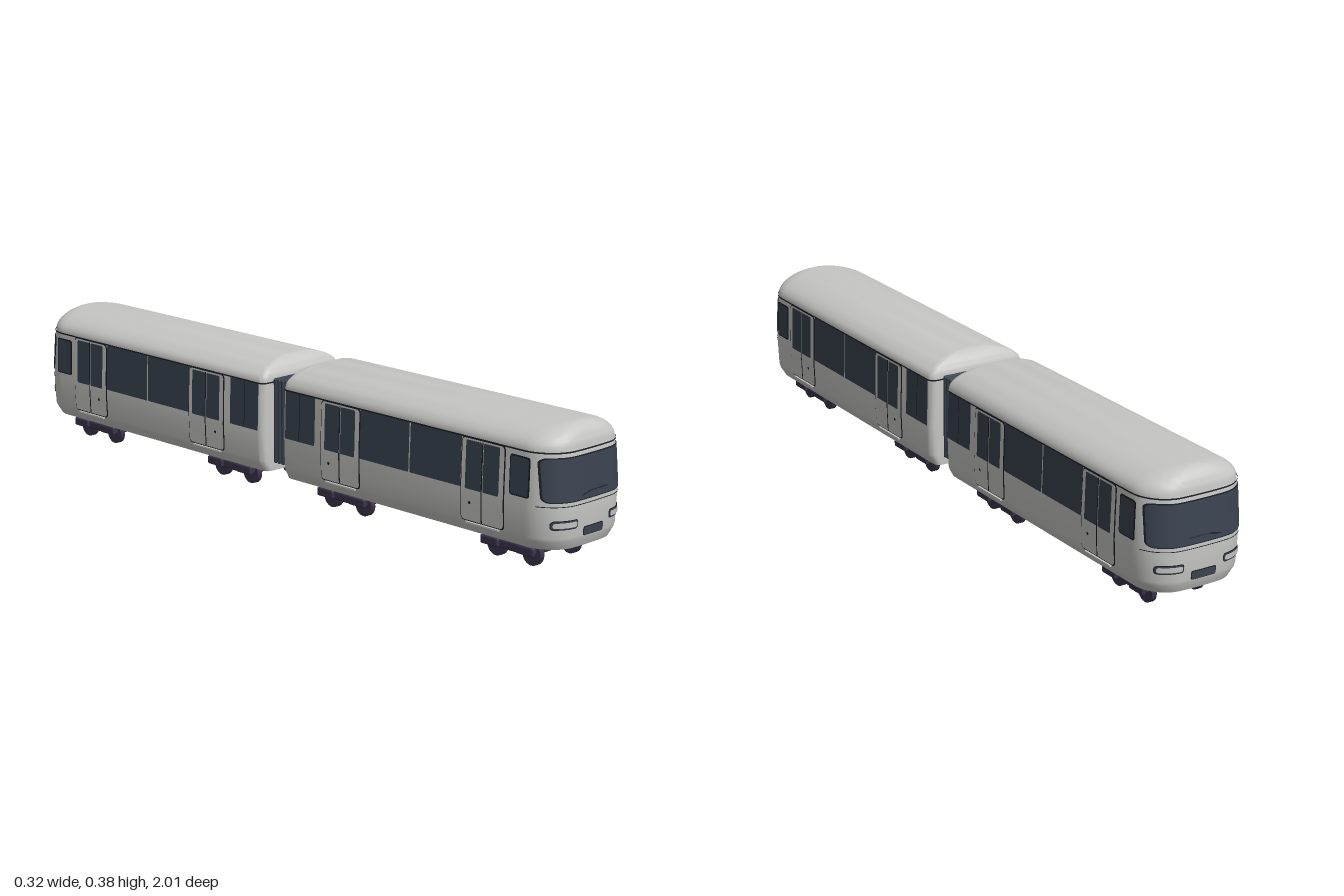
import * as THREE from 'three';
import { toCreasedNormals } from 'three/addons/utils/BufferGeometryUtils.js';
import { RoundedBoxGeometry } from 'three/addons/geometries/RoundedBoxGeometry.js';

const material = (name, color, side = THREE.FrontSide) => {
  const m = new THREE.MeshStandardMaterial({ color, side });
  m.name = name;
  return m;
};
const paint = material('light grey paint', 0xc6c6c4, THREE.DoubleSide);
const glass = material('dark glass', 0x3a4350, THREE.DoubleSide);
const trim = material('black trim', 0x1c2027, THREE.DoubleSide);
const bogieMat = material('bogie purple', 0x3b324a);
const bellowsMat = material('bellows rubber', 0x363e4a);

// Body profile by height: [y, half width, nose z]
const PROFILE = [[0.068, 0.133, 0.985], [0.09, 0.146, 0.995], [0.1, 0.149, 0.997],
  [0.18, 0.152, 1.0], [0.315, 0.148, 0.99], [0.32, 0.148, 0.989]];
const REAR = 0.037, BULGE = 0.01;
const noseRadius = (w) => 0.085 * w / 0.15;

function profileAt(y) {
  let i = 0;
  while (i < PROFILE.length - 2 && y > PROFILE[i + 1][0]) i++;
  const [a, b] = [PROFILE[i], PROFILE[i + 1]];
  const t = (y - a[0]) / (b[0] - a[0]);
  return [a[1] + (b[1] - a[1]) * t, a[2] + (b[2] - a[2]) * t];
}

// Plan outline of a car at one height: round nose, tight rear corners
function outline(y, w, zf, zr) {
  const r = noseRadius(w), rr = 0.02 * w / 0.15, half = [], rear = [];
  for (let i = 0; i <= 12; i++) {
    const a = i / 12 * Math.PI / 2, x = w - r + r * Math.cos(a);
    half.push([x, zf - r + r * Math.sin(a) - BULGE * (x / w) ** 2]);
  }
  for (const k of [0.67, 0.33]) {
    const x = (w - r) * k;
    half.push([x, zf - BULGE * (x / w) ** 2]);
  }
  for (let i = 0; i <= 4; i++) {
    const a = i / 4 * Math.PI / 2;
    rear.push([-(w - rr + rr * Math.cos(a)), zr + rr - rr * Math.sin(a)]);
  }
  const mirror = (list) => list.map(([x, z]) => [-x, z]).reverse();
  return [...half, [0, zf], ...mirror(half), ...rear, ...mirror(rear)].map(([x, z]) => [x, y, z]);
}

function indexed(points, index) {
  const g = new THREE.BufferGeometry();
  g.setAttribute('position', new THREE.Float32BufferAttribute(points.flat(), 3));
  g.setIndex(index);
  g.computeVertexNormals();
  return g;
}

function loft(rings, capped) {
  const n = rings[0].length, index = [];
  for (let i = 0; i < rings.length - 1; i++) {
    for (let j = 0; j < n; j++) {
      const a = i * n + j, b = i * n + (j + 1) % n;
      index.push(a, a + n, b, b, a + n, b + n);
    }
  }
  if (capped) {
    const top = (rings.length - 1) * n;
    for (let j = 1; j < n - 1; j++) index.push(0, j, j + 1, top, top + j + 1, top + j);
  }
  return toCreasedNormals(indexed(rings.flat(), index), 0.5);
}

function add(parent, name, geometry, mat, x = 0, y = 0, z = 0) {
  const mesh = new THREE.Mesh(geometry, mat);
  mesh.name = name;
  mesh.position.set(x, y, z);
  parent.add(mesh);
  return mesh;
}

// Surface mappings: thin plates lie on the nose or on either side wall
const onNose = (off) => (x, y) => {
  const [w, zf] = profileAt(y), r = noseRadius(w);
  const s = Math.min(0.99, Math.max(0, Math.abs(x) - (w - r)) / r), c = Math.sqrt(1 - s * s);
  return [x + Math.sign(x) * s * off, y, zf - r + r * c - BULGE * (x / w) ** 2 + c * off];
};
const onSide = (side, off) => (z, y) => [side * (profileAt(y)[0] + off), y, z];

// Rounded rectangle wrapped on a mapped surface
function patch(parent, name, mat, map, u0, u1, y0, y1, r = 0.001) {
  const N = 28, M = 6, pts = [], index = [];
  for (let i = 0; i <= N; i++) {
    const u = u0 + (u1 - u0) * (1 - Math.cos(i / N * Math.PI)) / 2;
    const d = Math.max(0, Math.min(u - u0, u1 - u));
    const inset = d < r ? r - Math.sqrt(r * r - (r - d) ** 2) : 0;
    for (let j = 0; j <= M; j++) {
      pts.push(map(u, y0 + inset + (y1 - y0 - 2 * inset) * j / M));
      if (i < N && j < M) {
        const a = i * (M + 1) + j, b = a + M + 1;
        index.push(a, b, b + 1, a, b + 1, a + 1);
      }
    }
  }
  add(parent, name, indexed(pts, index), mat);
}

function buildBogie(z) {
  const g = new THREE.Group();
  g.name = 'bogie';
  g.position.z = z;
  add(g, 'bogieFrame', new RoundedBoxGeometry(0.198, 0.027, 0.15, 2, 0.008), bogieMat, 0, 0.042, 0);
  add(g, 'bogieMount', new THREE.BoxGeometry(0.166, 0.02, 0.11), bogieMat, 0, 0.06, 0);
  for (const s of [-1, 1]) {
    for (const dz of [-0.059, 0.059]) {
      const wheel = add(g, 'wheel', new THREE.CylinderGeometry(0.03, 0.03, 0.015, 24), bogieMat, s * 0.073, 0.03, dz);
      wheel.rotation.z = Math.PI / 2;
      add(g, 'axleBox', new RoundedBoxGeometry(0.012, 0.024, 0.06, 2, 0.005), bogieMat, s * 0.104, 0.045, dz);
    }
  }
  return g;
}

function buildDoor(car, side, c) {
  const at = (off) => onSide(side, off);
  patch(car, 'doorSeal', trim, at(0.002), c - 0.073, c + 0.073, 0.099, 0.318, 0.012);
  patch(car, 'door', paint, at(0.0035), c - 0.07, c + 0.07, 0.102, 0.315, 0.01);
  for (const s of [-1, 1]) {
    const [a, b] = [c + s * 0.003, c + s * 0.056].sort((p, q) => p - q);
    patch(car, 'doorWindow', glass, at(0.005), a, b, 0.185, 0.311, 0.004);
  }
  patch(car, 'doorGap', trim, at(0.006), c - 0.002, c + 0.002, 0.104, 0.313);
  patch(car, 'doorButton', trim, at(0.006), c - 0.044, c - 0.036, 0.146, 0.154, 0.004);
  add(car, 'doorStep', new THREE.BoxGeometry(0.008, 0.004, 0.11), paint, side * 0.151, 0.096, c);
}

function buildCar() {
  const car = new THREE.Group();
  // Shell with an elliptical roof
  const rings = PROFILE.map(([y, w, zf]) => outline(y, w, zf, REAR));
  for (let i = 1; i <= 12; i++) {
    const a = i / 12 * Math.PI / 2, c = Math.max(0.003, Math.cos(a));
    rings.push(outline(0.32 + 0.06 * Math.sin(a), 0.148 * c, 0.989 - 0.05 * (1 - c), REAR + 0.05 * (1 - c)));
  }
  add(car, 'bodyShell', loft(rings, true), paint);
  // Gutter line below the roof
  add(car, 'gutter', loft([0.3155, 0.3195].map((y) => outline(y, 0.1497, 0.9915, REAR - 0.0015)), false), trim);

  // Nose
  patch(car, 'windscreenSeal', trim, onNose(0.0015), -0.141, 0.141, 0.192, 0.306, 0.014);
  patch(car, 'windscreen', glass, onNose(0.003), -0.138, 0.138, 0.195, 0.303, 0.012);
  patch(car, 'noseSeam', trim, onNose(0.0015), -0.147, 0.147, 0.1815, 0.1835);
  patch(car, 'grille', trim, onNose(0.0015), -0.038, 0.038, 0.098, 0.122, 0.006);
  patch(car, 'grilleInsert', glass, onNose(0.003), -0.036, 0.036, 0.1, 0.12, 0.005);
  for (const s of [-1, 1]) {
    const lamp = (name, mat, off, e) =>
      patch(car, name, mat, onNose(off), s * 0.093 - 0.034 + e, s * 0.093 + 0.034 - e, 0.123 + e, 0.147 - e, 0.008 - e / 2);
    lamp('headlightRim', trim, 0.0015, 0);
    lamp('headlightSurround', glass, 0.0025, 0.002);
    lamp('headlight', paint, 0.004, 0.005);
  }
  const wiper = [[-0.047, 0.206], [-0.015, 0.213], [0.048, 0.213]]
    .map(([x, y]) => new THREE.Vector3(...onNose(0.005)(x, y)));
  for (let i = 0; i < 2; i++) {
    add(car, 'wiper', new THREE.TubeGeometry(new THREE.LineCurve3(wiper[i], wiper[i + 1]), 4, 0.0014, 6), trim);
  }

  // Side walls
  for (const side of [-1, 1]) {
    const at = (off) => onSide(side, off);
    patch(car, 'cabWindowSeal', trim, at(0.0015), 0.853, 0.919, 0.199, 0.303, 0.008);
    patch(car, 'cabWindow', glass, at(0.003), 0.857, 0.915, 0.203, 0.299, 0.006);
    for (const [a, b] of [[0.515, 0.692], [0.335, 0.511], [0.054, 0.166]]) {
      patch(car, 'sideWindow', glass, at(0.0015), a, b, 0.185, 0.316, 0.003);
    }
    patch(car, 'windowPartition', trim, at(0.0025), 0.107, 0.109, 0.185, 0.316);
    for (const c of [0.766, 0.263]) buildDoor(car, side, c);
  }
  for (const z of [0.81, 0.22]) car.add(buildBogie(z));
  return car;
}

export function createModel() {
  const model = new THREE.Group();
  model.name = 'twoCarTrain';
  const front = buildCar(), back = buildCar();
  front.name = 'frontCar';
  back.name = 'rearCar';
  back.scale.z = -1;
  model.add(front, back);

  // Folded gangway between the cars
  const gangway = new THREE.Group();
  gangway.name = 'gangway';
  add(gangway, 'gangwayCore', new THREE.BoxGeometry(0.212, 0.22, 0.09), bellowsMat, 0, 0.21, 0);
  for (let i = -2; i <= 2; i++) {
    add(gangway, 'bellowsFold', new RoundedBoxGeometry(0.228, 0.238, 0.01, 2, 0.0045), bellowsMat, 0, 0.21, i * 0.0145);
  }
  model.add(gangway);
  return model;
}
